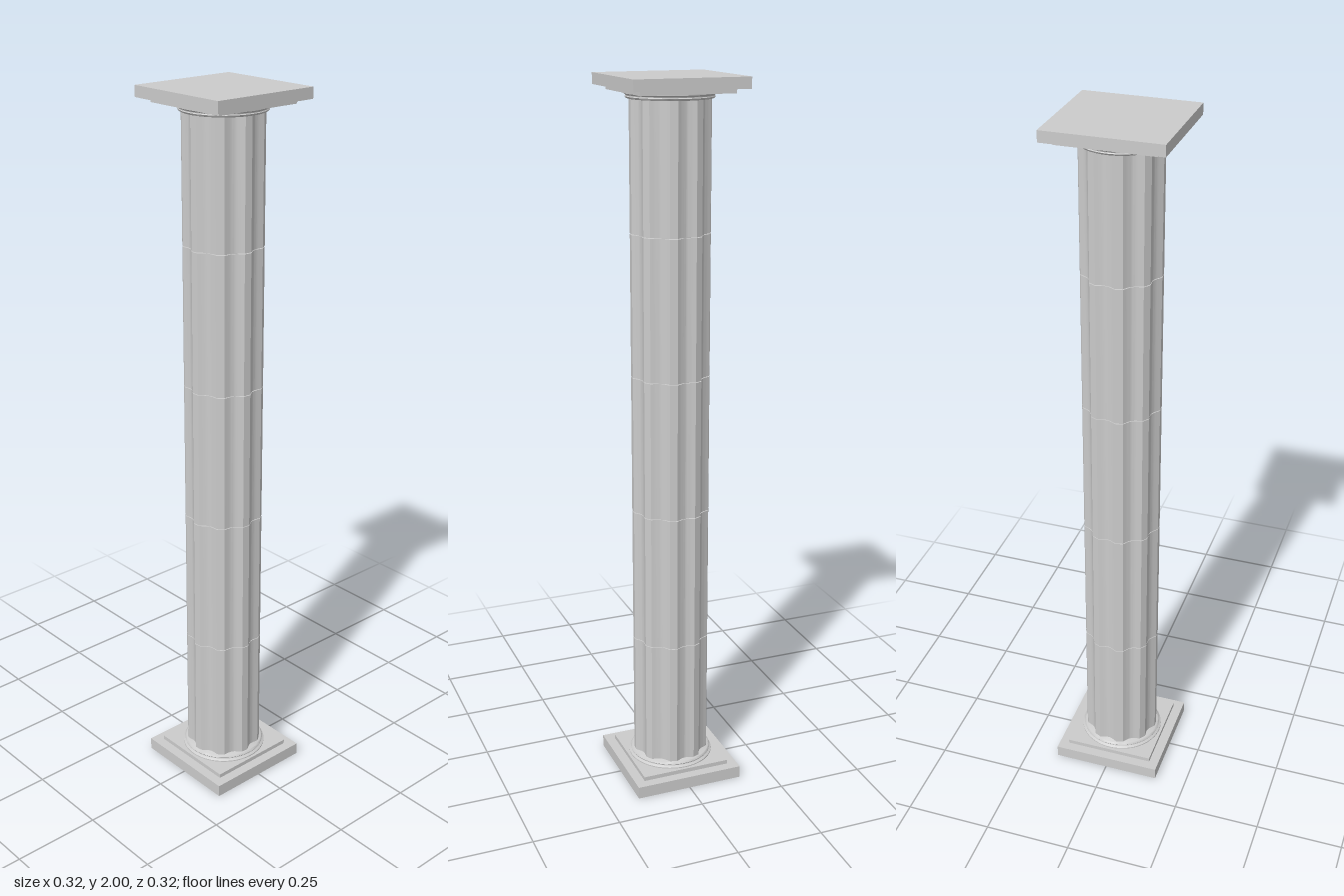
import * as THREE from 'three';
import { toCreasedNormals } from 'three/addons/utils/BufferGeometryUtils.js';

const FLUTES = 9, RADIUS = 0.108, DEPTH = 0.012;
const material = new THREE.MeshStandardMaterial({ color: 0xcccccc });

function add(parent, name, geometry, y = 0) {
  const mesh = new THREE.Mesh(geometry, material);
  mesh.name = name;
  mesh.position.y = y;
  parent.add(mesh);
  return mesh;
}

// Cross-section: concave flutes separated by narrow fillets
function flutedShape() {
  const points = [], step = (Math.PI * 2) / FLUTES;
  const fillet = THREE.MathUtils.degToRad(11), segments = 8;
  for (let i = 0; i < FLUTES; i++) {
    const start = THREE.MathUtils.degToRad(-6) + i * step + fillet / 2;
    for (let j = 0; j <= segments; j++) {
      const t = j / segments;
      const a = start + t * (step - fillet);
      const r = RADIUS - DEPTH * Math.sin(Math.PI * t);
      points.push(new THREE.Vector2(r * Math.sin(a), -r * Math.cos(a)));
    }
  }
  return new THREE.Shape(points);
}

// Square plinth, smaller step and round moulding, built upwards from y = 0
function createEnd(name, plinthHeight) {
  const end = new THREE.Group();
  end.name = name;
  add(end, 'plinth', new THREE.BoxGeometry(0.316, plinthHeight, 0.316), plinthHeight / 2);
  add(end, 'step', new THREE.BoxGeometry(0.26, 0.012, 0.26), plinthHeight + 0.006);
  const profile = [
    [0, 0], [0.122, 0], [0.122, 0.003], [0.119, 0.005], [0.116, 0.007], [0.1155, 0.009],
    [0.117, 0.011], [0.116, 0.014], [0.113, 0.016], [0, 0.016],
  ].map(([r, y]) => new THREE.Vector2(r, y));
  add(end, 'moulding', toCreasedNormals(new THREE.LatheGeometry(profile, 48), 0.7), plinthHeight + 0.012);
  return end;
}

export function createModel() {
  const column = new THREE.Group();
  column.name = 'column';

  column.add(createEnd('base', 0.035));
  const capital = createEnd('capital', 0.03);
  capital.rotation.x = Math.PI;
  capital.position.y = 2;
  column.add(capital);

  // Stacked fluted drums with hairline joints
  const joints = [0.05, 0.425, 0.815, 1.205, 1.595, 1.955], gap = 0.002;
  const shape = flutedShape();
  for (let i = 0; i < joints.length - 1; i++) {
    const depth = joints[i + 1] - joints[i] - gap;
    const drum = new THREE.ExtrudeGeometry(shape, { depth, bevelEnabled: false });
    drum.rotateX(-Math.PI / 2);
    add(column, 'shaftDrum', toCreasedNormals(drum, 0.35), joints[i] + gap / 2);
  }

  // Core that closes the joints from inside
  add(column, 'shaftCore', new THREE.CylinderGeometry(0.094, 0.094, 1.9, 36), 1);

  return column;
}
